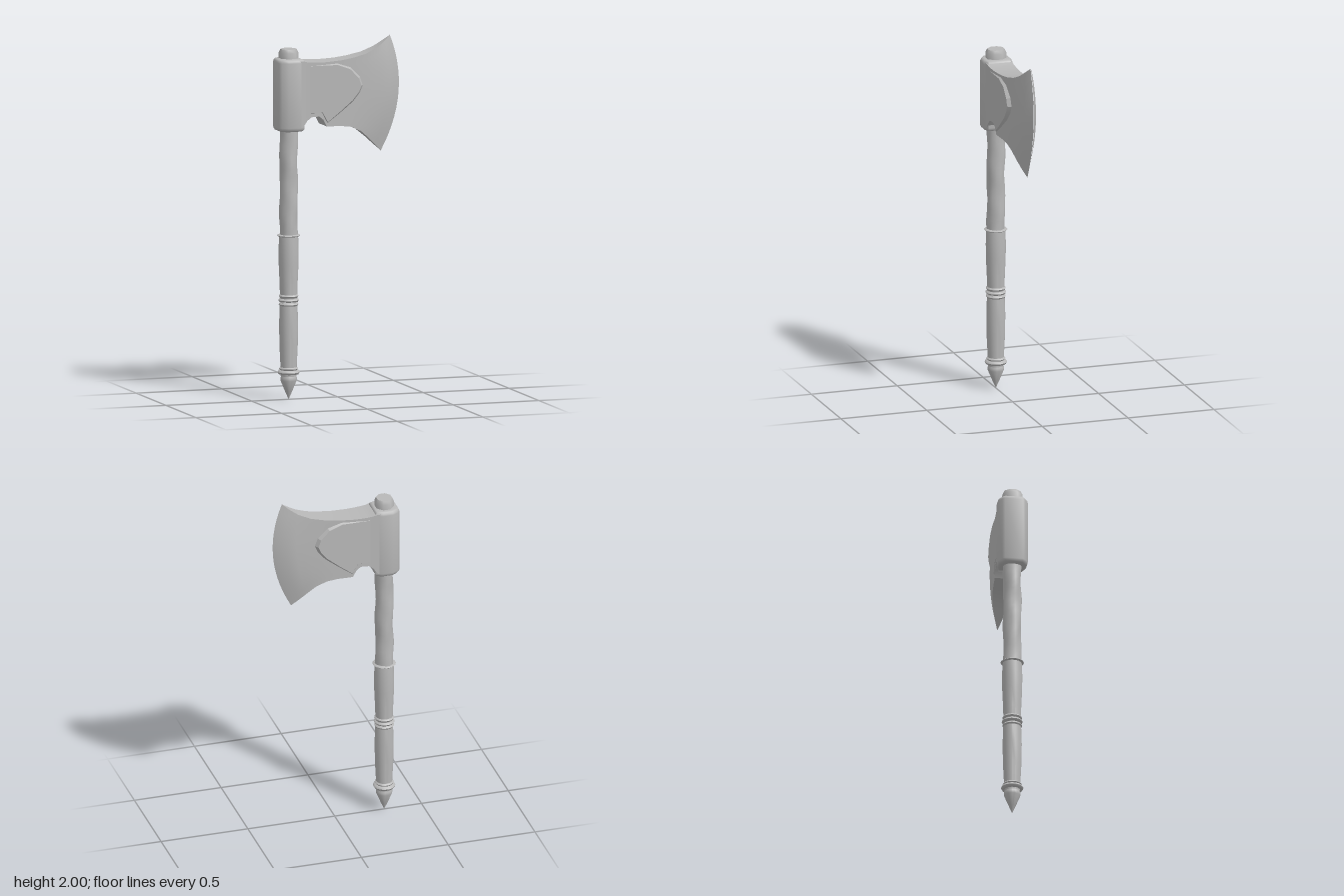
import * as THREE from 'three';
import { toCreasedNormals } from 'three/addons/utils/BufferGeometryUtils.js';

const AXIS = -0.285; // x of the handle

export function createModel() {
  const group = new THREE.Group();
  const grey = new THREE.MeshStandardMaterial({ color: 0xb8b8b8 });
  grey.name = 'plain grey';

  const add = (name, geometry, x = 0, crease = 0.6) => {
    const mesh = new THREE.Mesh(toCreasedNormals(geometry, crease), grey);
    mesh.name = name;
    mesh.position.x = x;
    group.add(mesh);
    return mesh;
  };
  const lathe = (points, sides) =>
    new THREE.LatheGeometry(points.map(([r, y]) => new THREE.Vector2(r, y)), sides, Math.PI / sides);

  // Pointed pommel
  add('pommel', lathe([[0, 0], [0.02, 0.045], [0.045, 0.105], [0.046, 0.12], [0.038, 0.14]], 16), AXIS);

  // Two bulging grips
  add('lowerGrip', lathe([[0.044, 0.13], [0.046, 0.2], [0.051, 0.3], [0.053, 0.42], [0.049, 0.54]], 16), AXIS);
  add('upperGrip', lathe([[0.048, 0.56], [0.05, 0.64], [0.055, 0.75], [0.056, 0.83], [0.053, 0.915]], 16), AXIS);

  // Rings: height, radius, half height
  const rings = [
    [0.152, 0.062, 0.013], [0.172, 0.053, 0.01],
    [0.53, 0.055, 0.011], [0.553, 0.058, 0.011], [0.576, 0.055, 0.011],
    [0.913, 0.065, 0.006],
  ];
  for (const [y, r, h] of rings) {
    add('ring', lathe([[0.035, y - h], [r - 0.006, y - h * 0.8], [r, y], [r - 0.006, y + h * 0.8], [0.035, y + h]], 16), AXIS, 1);
  }

  // Upper shaft with gently twisting, uneven carving
  const shaft = new THREE.CylinderGeometry(0.05, 0.05, 0.62, 14, 18, true);
  shaft.translate(0, 1.21, 0);
  const p = shaft.attributes.position;
  for (let i = 0; i < p.count; i++) {
    const a = Math.atan2(p.getZ(i), p.getX(i));
    const y = p.getY(i);
    const s = 1 + 0.055 * Math.sin(3 * a + y * 22) + 0.025 * Math.sin(2 * a - y * 35);
    p.setXYZ(i, p.getX(i) * s, y, p.getZ(i) * s);
  }
  add('shaft', shaft, AXIS, 0.8);

  // Eight-sided shaft end above the head
  const peg = add('shaftEnd', lathe([[0.054, 1.86], [0.054, 1.93], [0.045, 1.95], [0, 1.95]], 8), AXIS, 0.9);
  peg.scale.z = 1.08;

  // Socket around the shaft
  const half = [[-0.358, 0.05], [-0.345, 0.064], [-0.312, 0.083], [-0.255, 0.083], [-0.215, 0.068]];
  const outline = [...half, ...half.map(([x, z]) => [x, -z]).reverse()];
  const socket = new THREE.ExtrudeGeometry(new THREE.Shape(outline.map(([x, z]) => new THREE.Vector2(x, z))), {
    depth: 0.36, bevelThickness: 0.022, bevelSize: 0.018, bevelOffset: -0.018, bevelSegments: 3,
  });
  socket.rotateX(-Math.PI / 2);
  socket.translate(0, 1.517, 0);
  add('socket', socket, 0, 0.9);

  // Blade columns: top x, y, bottom x, y, forward bow, half thickness, thinning at the corners
  const columns = [
    [-0.27, 1.888, -0.27, 1.505, 0, 0.078, 0],
    [-0.225, 1.887, -0.225, 1.52, 0, 0.075, 0],
    [-0.2, 1.88, -0.2, 1.555, 0, 0.072, 0],
    [-0.17, 1.877, -0.175, 1.573, 0, 0.071, 0],
    [-0.13, 1.875, -0.13, 1.575, 0, 0.069, 0],
    [-0.105, 1.875, -0.105, 1.555, 0, 0.067, 0],
    [-0.085, 1.875, -0.085, 1.517, 0, 0.066, 0],
    [0, 1.88, 0, 1.515, 0, 0.06, 0],
    [0.07, 1.89, 0.06, 1.507, 0.01, 0.055, 0],
    [0.15, 1.908, 0.12, 1.48, 0.02, 0.049, 0.05],
    [0.22, 1.938, 0.17, 1.438, 0.035, 0.043, 0.2],
    [0.27, 1.972, 0.212, 1.397, 0.045, 0.037, 0.5],
    [0.305, 2.0, 0.252, 1.36, 0.077, 0.001, 0],
  ];
  const rows = 14;
  const loop = 2 * (rows + 1);
  const verts = [];
  const faces = [];
  columns.forEach(([xt, yt, xb, yb, bow, t, thin], i) => {
    for (let k = 0; k < loop; k++) {
      const front = k <= rows;
      const v = (front ? k : loop - 1 - k) / rows;
      const arc = 4 * v * (1 - v);
      const z = t * (1 - thin * (1 - arc));
      verts.push(xb + (xt - xb) * v + bow * arc, yb + (yt - yb) * v, front ? z : -z);
      if (i < columns.length - 1) {
        const a = i * loop + k;
        const d = i * loop + (k + 1) % loop;
        faces.push(a, a + loop, d + loop, a, d + loop, d);
      }
    }
  });
  const blade = new THREE.BufferGeometry();
  blade.setAttribute('position', new THREE.Float32BufferAttribute(verts, 3));
  blade.setIndex(faces);
  add('blade', blade, 0, 0.5);

  // Raised cheek plate on both faces of the blade
  const cheekOutline = [
    [-0.2, 1.58], [-0.12, 1.58], [-0.085, 1.52], [0.0, 1.583], [0.075, 1.645], [0.115, 1.695],
    [0.132, 1.735], [0.115, 1.785], [0.06, 1.843], [-0.02, 1.873], [-0.2, 1.873],
  ];
  const cheek = new THREE.ExtrudeGeometry(new THREE.Shape(cheekOutline.map(([x, y]) => new THREE.Vector2(x, y))), {
    depth: 0.096, bevelThickness: 0.024, bevelSize: 0.016, bevelOffset: -0.001, bevelSegments: 1,
  });
  cheek.dispose();
  const inset = new THREE.ExtrudeGeometry(new THREE.Shape(cheekOutline.map(([x, y]) => new THREE.Vector2(x, y))), {
    depth: 0.096, bevelThickness: 0.024, bevelSize: 0.016, bevelOffset: -0.016, bevelSegments: 1,
  });
  inset.translate(0, 0, -0.048);
  add('cheekPlate', inset, 0, 0.3);

  return group;
}
